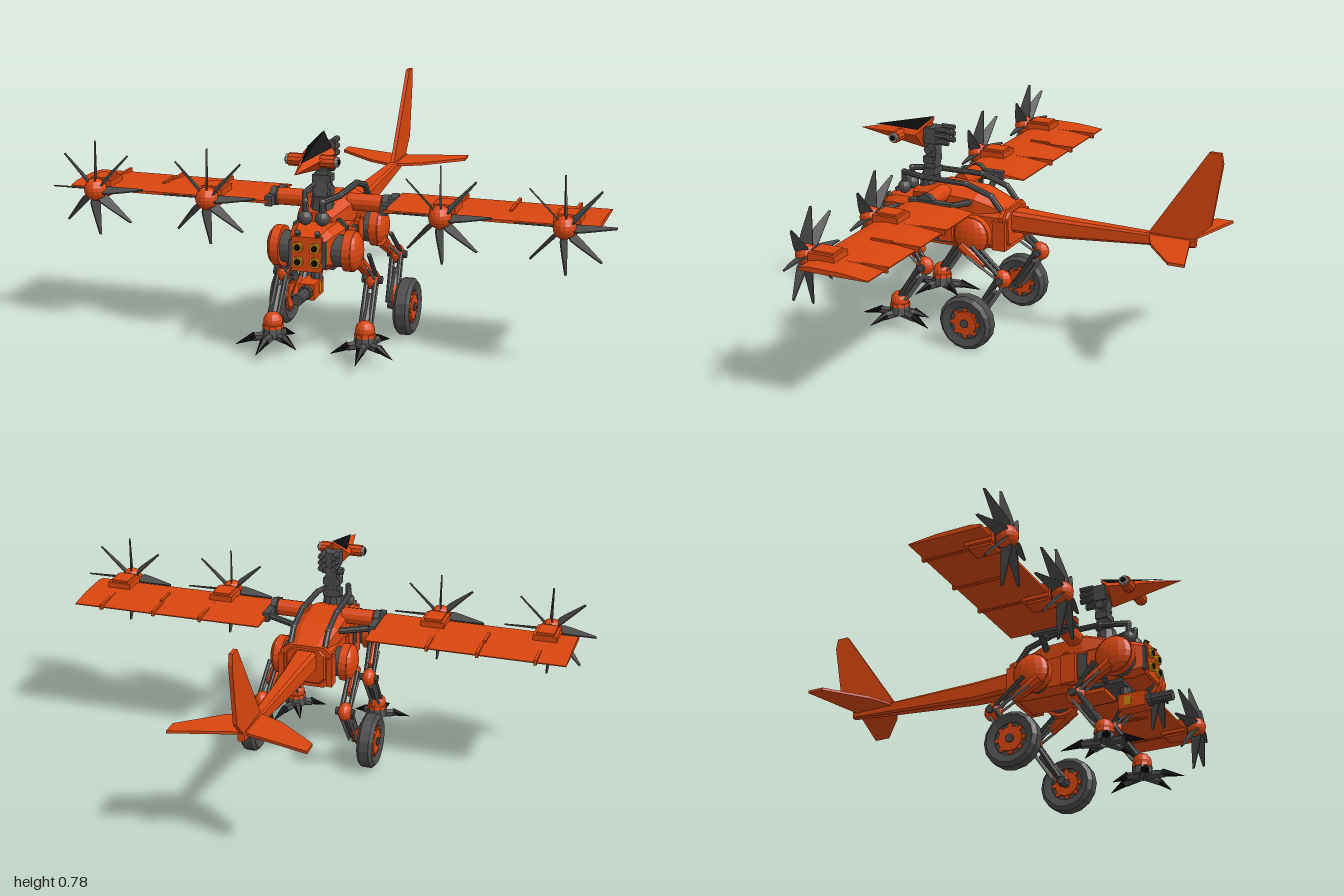
import * as THREE from 'three';

const mat = (name, color) => Object.assign(new THREE.MeshStandardMaterial({ color }), { name });

export function createModel() {
  const root = new THREE.Group();
  const orange = mat('orange paint', 0xd9460f);
  const gray = mat('dark gray metal', 0x4c4c4c);
  const black = mat('black', 0x0c0c0c);
  const amber = mat('amber lens', 0xd08a10);
  const silver = mat('light gray', 0x9a9a9a);
  const V = (x, y, z) => new THREE.Vector3(x, y, z);

  function add(name, geo, m, x = 0, y = 0, z = 0, parent = root) {
    const flat = geo.index ? geo.toNonIndexed() : geo;
    flat.computeVertexNormals();
    const mesh = new THREE.Mesh(flat, m);
    mesh.name = name;
    mesh.position.set(x, y, z);
    parent.add(mesh);
    return mesh;
  }
  const box = (name, m, w, h, d, x, y, z, p) => add(name, new THREE.BoxGeometry(w, h, d), m, x, y, z, p);
  const ball = (name, m, r, x, y, z, sx = 1, p) => add(name, new THREE.SphereGeometry(r, 14, 10).scale(sx, 1, 1), m, x, y, z, p);
  // cylinders along x and along z
  const discX = (name, m, r, w, x, y, z, n = 16) => add(name, new THREE.CylinderGeometry(r, r, w, n).rotateZ(Math.PI / 2), m, x, y, z);
  const discZ = (name, m, r, w, x, y, z, n = 12, p) => add(name, new THREE.CylinderGeometry(r, r, w, n).rotateX(Math.PI / 2), m, x, y, z, p);
  // straight rod from a to b, with its own radius at each end
  function rod(name, m, a, b, ra, rb = ra, n = 8) {
    const d = b.clone().sub(a);
    const mesh = add(name, new THREE.CylinderGeometry(rb, ra, d.length(), n), m);
    mesh.position.copy(a).addScaledVector(d, 0.5);
    mesh.quaternion.setFromUnitVectors(V(0, 1, 0), d.normalize());
    return mesh;
  }
  // plate drawn as [z, y] points with its thickness along x
  function plateGeo(pts, t) {
    const s = new THREE.Shape(pts.map(p => new THREE.Vector2(...p)));
    return new THREE.ExtrudeGeometry(s, { depth: t, bevelEnabled: false }).rotateY(-Math.PI / 2).translate(t / 2, 0, 0);
  }
  // chamfered hull through sections [z, halfWidth, bottom, top], rear to front
  function hull(name, m, sections, c = 0.3) {
    const pos = [], rings = sections.map(([z, w, b, t]) => {
      const cy = (t + b) / 2, h = (t - b) / 2, k = 1 - c;
      return [[1, -k], [1, k], [k, 1], [-k, 1], [-1, k], [-1, -k], [-k, -1], [k, -1]].map(([x, y]) => [x * w, cy + y * h, z]);
    });
    const tri = (...p) => p.forEach(q => pos.push(...q));
    for (let i = 0; i < rings.length - 1; i++) for (let j = 0; j < 8; j++) {
      const a = rings[i][j], b = rings[i][(j + 1) % 8], e = rings[i + 1][(j + 1) % 8], d = rings[i + 1][j];
      tri(a, b, d); tri(b, e, d);
    }
    const r0 = rings[0], r1 = rings.at(-1);
    for (let j = 1; j < 7; j++) { tri(r0[0], r0[j + 1], r0[j]); tri(r1[0], r1[j], r1[j + 1]); }
    return add(name, new THREE.BufferGeometry().setAttribute('position', new THREE.Float32BufferAttribute(pos, 3)), m);
  }
  function faces(name, m, pts, tris) {
    const g = new THREE.BufferGeometry().setFromPoints(tris.flat().map(i => pts[i]));
    return add(name, g, m);
  }

  // Fuselage
  hull('rearBody', orange, [[0.07, 0.07, 0.35, 0.475], [0.1, 0.085, 0.33, 0.48], [0.3, 0.09, 0.325, 0.48]]);
  hull('frontBody', orange, [[0.3, 0.085, 0.335, 0.48], [0.47, 0.09, 0.335, 0.48], [0.54, 0.075, 0.335, 0.475], [0.585, 0.06, 0.35, 0.46]]);
  hull('upperBody', orange, [[0.09, 0.065, 0.44, 0.485], [0.2, 0.085, 0.44, 0.53], [0.36, 0.085, 0.44, 0.54], [0.47, 0.05, 0.44, 0.51]], 0.4);
  box('bellyFairing', orange, 0.1, 0.03, 0.13, 0, 0.325, 0.36);
  box('bellyFrame', gray, 0.13, 0.02, 0.2, 0, 0.335, 0.4);
  for (const z of [0.08, 0.29, 0.43]) hull('bodyBand', z === 0.43 ? gray : orange, [[z, 0.097, 0.33, 0.487], [z + 0.016, 0.097, 0.33, 0.487]]);
  box('noseFrame', gray, 0.13, 0.09, 0.012, 0, 0.4, 0.583);
  box('nosePlate', orange, 0.105, 0.12, 0.014, 0, 0.4, 0.586);
  for (const x of [-0.03, 0.03]) for (const y of [0.425, 0.375]) {
    discZ('noseLamp', amber, 0.018, 0.014, x, y, 0.597);
    discZ('noseLens', black, 0.011, 0.006, x, y, 0.604);
  }
  for (const x of [-0.035, 0.035]) rod('noseTube', gray, V(x, 0.45, 0.57), V(x, 0.475, 0.585), 0.01);

  // Gun under the nose
  box('gunBody', orange, 0.055, 0.055, 0.1, -0.01, 0.262, 0.52);
  box('gunBand', amber, 0.058, 0.035, 0.025, -0.01, 0.262, 0.505);
  discZ('gunBarrel', gray, 0.019, 0.1, -0.01, 0.262, 0.612, 10);
  discZ('gunCollar', gray, 0.024, 0.018, -0.01, 0.262, 0.58, 10);
  rod('gunMount', gray, V(0, 0.27, 0.49), V(0, 0.345, 0.48), 0.02);

  // Neck
  rod('neckBase', gray, V(0, 0.49, 0.42), V(0, 0.56, 0.42), 0.045, 0.035, 10);
  const neckPoints = [[0.445, 0.54], [0.395, 0.54], [0.385, 0.66], [0.4, 0.72], [0.44, 0.7], [0.425, 0.64]];
  add('neck', plateGeo(neckPoints, 0.045), gray);
  for (const y of [0.575, 0.62]) box('neckRing', gray, 0.065, 0.025, 0.045, 0, y, 0.412);
  rod('neckJoint', gray, V(-0.04, 0.66, 0.41), V(0.04, 0.66, 0.41), 0.016);

  // Head
  const headPts = [V(0, 0.7, 0.71), V(0, 0.775, 0.4), V(0.056, 0.715, 0.45), V(-0.056, 0.715, 0.45), V(0, 0.655, 0.445)];
  faces('head', orange, headPts, [[0, 2, 1], [0, 1, 3], [0, 4, 2], [0, 3, 4], [1, 2, 4], [1, 4, 3]]);
  const crest = [V(0, 0.722, 0.645), V(0, 0.78, 0.4), V(0.043, 0.733, 0.448), V(-0.043, 0.733, 0.448)];
  faces('headCrest', black, crest, [[0, 2, 1], [0, 1, 3]]);
  box('headRear', gray, 0.06, 0.06, 0.06, 0, 0.712, 0.4);
  for (const x of [-0.025, 0.025]) for (const y of [0.692, 0.715, 0.738]) discZ('headTube', gray, 0.011, 0.05, x, y, 0.357, 8);

  // Tail
  hull('tailBoom', orange, [[-0.62, 0.012, 0.433, 0.462], [-0.1, 0.03, 0.393, 0.467], [0.08, 0.042, 0.393, 0.472]]);
  add('tailFin', plateGeo([[-0.445, 0.465], [-0.66, 0.785], [-0.703, 0.785], [-0.71, 0.745], [-0.675, 0.52], [-0.615, 0.46]], 0.014), orange);

  for (const s of [-1, 1]) {
    const P = (x, y, z) => V(s * x, y, z);

    // Tailplane
    const tp = [[0, 0.45], [0.025, 0.455], [0.1, 0.49], [0.245, 0.61], [0.245, 0.67], [0, 0.6]];
    const tailShape = new THREE.Shape(tp.map(([x, z]) => new THREE.Vector2(s * x, z)));
    add('tailplane', new THREE.ExtrudeGeometry(tailShape, { depth: 0.01, bevelEnabled: false }).rotateX(-Math.PI / 2), orange, 0, 0.45, 0);

    // Head sides
    discX('eyeHousing', orange, 0.022, 0.05, s * 0.055, 0.705, 0.525, 10);
    discX('eyeRim', silver, 0.017, 0.025, s * 0.078, 0.705, 0.525, 10);
    discX('eyeLens', black, 0.01, 0.006, s * 0.091, 0.705, 0.525, 10);

    // Back pipes
    const pipe = [P(0.03, 0.5, 0.515), P(0.03, 0.562, 0.515), P(0.062, 0.563, 0.42), P(0.066, 0.563, 0.24), P(0.066, 0.53, 0.14), P(0.066, 0.48, 0.1)];
    for (let i = 0; i < pipe.length - 1; i++) rod('backPipe', gray, pipe[i], pipe[i + 1], 0.011);
    pipe.slice(1, -1).forEach(p => ball('pipeElbow', gray, 0.0115, p.x, p.y, p.z));
    ball('pipeEnd', gray, 0.025, s * 0.03, 0.505, 0.515);

    // Wing hinge
    discX('hingeSleeve', orange, 0.031, 0.12, s * 0.125, 0.52, 0.33, 12);
    discX('hingeHub', gray, 0.034, 0.022, s * 0.2, 0.52, 0.33, 12);
    box('hingeBlock', gray, 0.025, 0.035, 0.17, s * 0.205, 0.515, 0.31);
    rod('hingeBrace', gray, P(0.08, 0.5, 0.22), P(0.2, 0.515, 0.25), 0.012);

    // Wing
    add('wing', plateGeo([[0.14, 0.508], [0.14, 0.512], [0.24, 0.523], [0.36, 0.525], [0.4, 0.518], [0.4, 0.508], [0.3, 0.507]], 0.735), orange, s * 0.572, 0, 0);
    for (const x of [0.435, 0.62, 0.83]) box('wingRib', orange, 0.011, 0.02, 0.16, s * x, 0.514, 0.21);
    box('wingRib', orange, 0.011, 0.028, 0.08, s * 0.625, 0.516, 0.27);

    // Engines with eight-bladed propellers
    for (const x of [0.413, 0.83]) {
      const engine = new THREE.Group();
      engine.name = 'engine';
      engine.position.set(s * x, 0.52, 0.43);
      root.add(engine);
      box('nacelle', orange, 0.088, 0.05, 0.1, 0, 0, -0.075, engine);
      box('nacelleCap', orange, 0.065, 0.066, 0.08, 0, 0, -0.075, engine);
      discZ('propellerHub', gray, 0.03, 0.03, 0, 0, -0.015, 12, engine);
      ball('spinner', orange, 0.04, 0, 0, 0.005, 1, engine);
      for (let i = 0; i < 8; i++) {
        const geo = plateGeo([[-0.015, 0.025], [0.025, 0.03], [0.03, 0.045], [0.02, 0.08], [-0.01, 0.168], [-0.018, 0.17], [-0.018, 0.06]], 0.005);
        add('propellerBlade', geo.rotateY(0.3).rotateZ(i * Math.PI / 4), gray, 0, 0, 0, engine);
      }
    }

    // Shoulder and hip domes
    for (const z of [0.5, 0.185]) {
      discX('legMount', gray, 0.055, 0.06, s * 0.1, 0.395, z);
      discX('legDrum', orange, 0.07, 0.03, s * 0.125, 0.397, z, 18);
      ball('legDome', orange, 0.068, s * 0.135, 0.397, z, 0.45);
      box('sidePanel', orange, 0.02, 0.11, 0.05, s * 0.092, 0.395, z - 0.09);
    }
    box('sidePanel', orange, 0.03, 0.11, 0.055, s * 0.088, 0.4, 0.31);
    box('sideVent', gray, 0.02, 0.09, 0.035, s * 0.092, 0.4, 0.365);

    // Legs: two rods, a piston and a ball knee each
    const legs = [[0.47, 0.365, 0.47, 0.12, 0.165], [0.2, 0.05, 0.155, 0.11, 0.17]];
    for (const [hipZ, kneeZ, footZ, footY, x] of legs) {
      rod('thigh', orange, P(0.145, 0.36, hipZ + 0.02), P(0.155, 0.295, hipZ - 0.075), 0.024, 0.017);
      for (const dx of [-0.015, 0.015]) {
        rod('thighRod', gray, P(0.155 + dx, 0.37, hipZ - 0.03), P(0.16 + dx, 0.265, kneeZ), 0.008);
        rod('thighStrut', silver, P(0.155 + dx, 0.33, hipZ - 0.01), P(0.16 + dx, 0.25, kneeZ), 0.005);
        rod('shinRod', gray, P(0.16 + dx, 0.26, kneeZ + 0.015), P(x + dx, footY, footZ), 0.009);
        rod('shinStrut', silver, P(0.16 + dx, 0.245, kneeZ - 0.012), P(x + dx, footY, footZ - 0.03), 0.005);
      }
      ball('knee', orange, 0.035, s * 0.16, 0.26, kneeZ, 0.75);
      discX('kneePin', gray, 0.014, 0.07, s * 0.16, 0.26, kneeZ, 10);
      rod('shinPiston', gray, P(x, 0.215, kneeZ + (footZ - kneeZ) * 0.3), P(x, footY, footZ), 0.016);
    }

    // Foot
    ball('ankle', orange, 0.034, s * 0.165, 0.112, 0.47);
    rod('ankleRing', gray, P(0.165, 0.06, 0.47), P(0.165, 0.092, 0.47), 0.042, 0.034, 10);
    rod('ankleBand', orange, P(0.165, 0.09, 0.47), P(0.165, 0.102, 0.47), 0.038, 0.036, 10);
    for (const [dx, dz] of [[0.01, 0.145], [0.11, 0.06], [-0.1, 0.06], [0.045, -0.135], [-0.045, -0.09]]) {
      const at = (t, y) => P(0.165 + dx * t, y, 0.47 + dz * t);
      rod('toe', gray, at(0.1, 0.062), at(0.55, 0.058), 0.017, 0.015, 6);
      rod('claw', black, at(0.5, 0.062), at(1.04, 0.038), 0.016, 0.001, 6);
    }

    // Wheel
    const tire = [[0.06, -0.022], [0.088, -0.03], [0.102, -0.018], [0.102, 0.018], [0.088, 0.03], [0.06, 0.022], [0.06, -0.022]];
    const tireGeo = new THREE.LatheGeometry(tire.map(p => new THREE.Vector2(...p)), 16).rotateZ(Math.PI / 2);
    add('tire', tireGeo, gray, s * 0.228, 0.103, 0.158);
    discX('wheelDisc', gray, 0.062, 0.03, s * 0.228, 0.103, 0.158);
    discX('wheelHub', orange, 0.046, 0.05, s * 0.228, 0.103, 0.158, 12);
    discX('axle', gray, 0.016, 0.1, s * 0.208, 0.103, 0.158, 8);
    for (let i = 0; i < 8; i++) {
      const a = i * Math.PI / 4;
      discX('wheelBolt', orange, 0.009, 0.046, s * 0.228, 0.103 + 0.05 * Math.sin(a), 0.158 + 0.05 * Math.cos(a), 6);
    }
    rod('wheelFork', orange, P(0.175, 0.16, 0.12), P(0.185, 0.1, 0.158), 0.018, 0.022);
  }
  return root;
}
